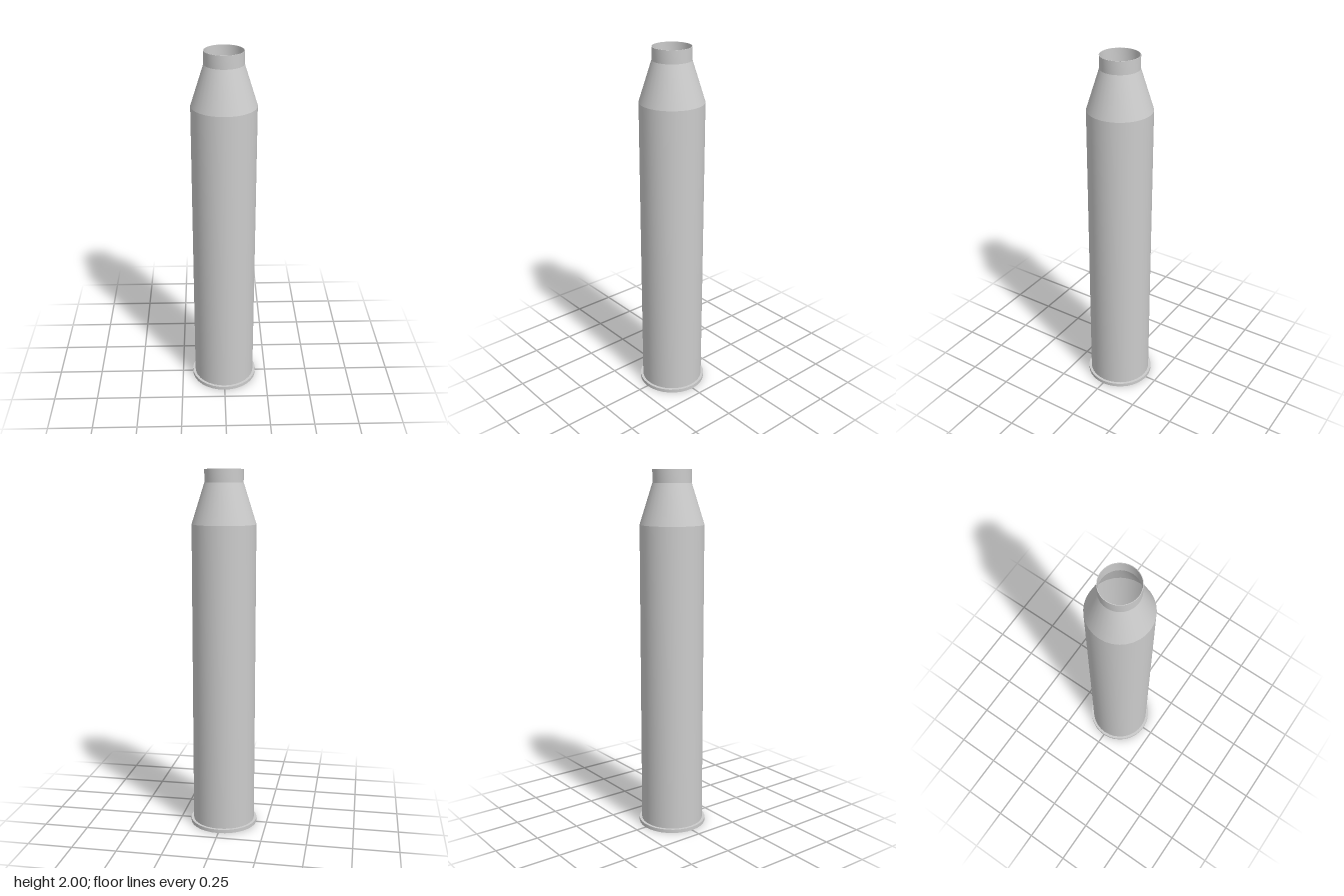
import * as THREE from 'three';
import { toCreasedNormals } from 'three/addons/utils/BufferGeometryUtils.js';

const SIDES = 32;
const material = new THREE.MeshStandardMaterial({ color: 0xcccccc });

// Turned part from a [radius, height] profile, listed so that surfaces face outward
function turned(name, profile) {
  const points = profile.map(([r, y]) => new THREE.Vector2(r, y));
  const geometry = toCreasedNormals(new THREE.LatheGeometry(points, SIDES), 0.25);
  const mesh = new THREE.Mesh(geometry, material);
  mesh.name = name;
  return mesh;
}

export function createModel() {
  const group = new THREE.Group();
  group.name = 'emptyCase';

  // Rimmed base with a shallow socket in its underside
  group.add(turned('rimBase', [
    [0, 0.008], [0.117, 0.008], [0.117, 0], [0.19, 0], [0.19, 0.02], [0.17, 0.02],
  ]));

  // Thin wall: up the outside, over the mouth, down the inside to the floor
  group.add(turned('caseWall', [
    [0.175, 0.02], [0.175, 1.71], [0.105, 1.93], [0.105, 2],
    [0.102, 2], [0.102, 1.93], [0.172, 1.71], [0.172, 0.025], [0, 0.025],
  ]));

  // Central disc in the socket, leaving a narrow groove around it
  group.add(turned('primer', [[0, 0.001], [0.104, 0.001], [0.104, 0.008]]));

  return group;
}
